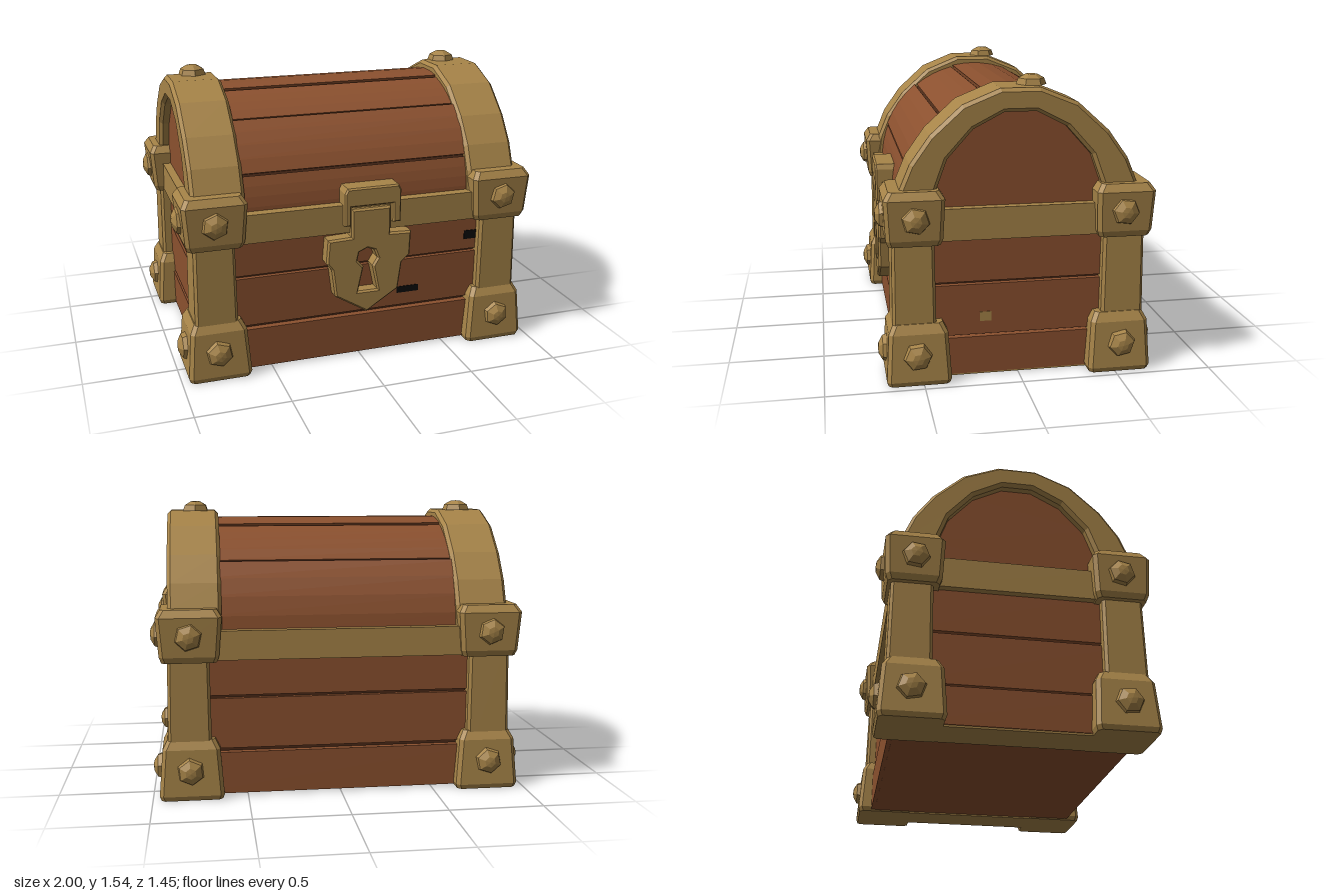
import * as THREE from 'three';

const mat = (name, color) => {
  const m = new THREE.MeshStandardMaterial({ color });
  m.name = name;
  return m;
};

export function createModel() {
  const root = new THREE.Group();
  root.name = 'treasureChest';
  const wood = mat('wood', 0x8c512f);
  const gold = mat('oldGold', 0xa88549);
  const seam = mat('darkSeam', 0x4a2917);
  const black = mat('blackHole', 0x0c0a0a);

  // Adds a faceted mesh
  const add = (name, geo, material, x = 0, y = 0, z = 0) => {
    const g = geo.index ? geo.toNonIndexed() : geo;
    g.computeVertexNormals();
    const mesh = new THREE.Mesh(g, material);
    mesh.name = name;
    mesh.position.set(x, y, z);
    root.add(mesh);
    return mesh;
  };

  // Box given by its limits
  const slab = (name, material, x0, x1, y0, y1, z0, z1) =>
    add(name, new THREE.BoxGeometry(x1 - x0, y1 - y0, z1 - z0), material,
      (x0 + x1) / 2, (y0 + y1) / 2, (z0 + z1) / 2);

  // Stack of chamfered rectangles; levels are [y, halfX, halfZ]
  const loft = (levels, c) => {
    const pos = [], idx = [];
    for (const [y, a, b] of levels) {
      const ring = [[a, b - c], [a - c, b], [c - a, b], [-a, b - c],
        [-a, c - b], [c - a, -b], [a - c, -b], [a, c - b]];
      for (const [x, z] of ring) pos.push(x, y, z);
    }
    const last = (levels.length - 1) * 8;
    for (let l = 0; l < last; l += 8) {
      for (let i = 0; i < 8; i++) {
        const j = (i + 1) % 8;
        idx.push(l + i, l + 8 + i, l + j, l + j, l + 8 + i, l + 8 + j);
      }
    }
    for (let i = 1; i < 7; i++) {
      idx.push(0, i, i + 1, last, last + i + 1, last + i);
    }
    const g = new THREE.BufferGeometry();
    g.setAttribute('position', new THREE.Float32BufferAttribute(pos, 3));
    g.setIndex(idx);
    return g;
  };

  const toVectors = (points) => points.map(([a, b]) => new THREE.Vector2(a, b));

  // Extrudes a (z, y) outline along x, centred on x = 0
  const acrossX = (points, width, bevel = 0) => {
    const g = new THREE.ExtrudeGeometry(new THREE.Shape(toVectors(points)), {
      depth: width - 2 * bevel, bevelEnabled: bevel > 0, bevelThickness: bevel,
      bevelSize: bevel, bevelOffset: -bevel, bevelSegments: 1,
    });
    g.translate(0, 0, bevel - width / 2);
    return g.rotateY(-Math.PI / 2);
  };

  // Low-sided stud pointing along a direction
  const stud = (x, y, z, dir, turn) => {
    const profile = [[0.078, -0.01], [0.066, 0.022], [0.03, 0.042], [0, 0.045]];
    const g = new THREE.LatheGeometry(toVectors(profile), 6);
    const mesh = add('stud', g.rotateY(turn), gold, x, y, z);
    mesh.quaternion.setFromUnitVectors(new THREE.Vector3(0, 1, 0), dir);
  };

  // Body: dark core, floor and separate planks on all four sides
  slab('bodyCore', seam, -0.83, 0.83, 0.03, 0.85, -0.575, 0.575);
  slab('floor', wood, -0.84, 0.84, 0.008, 0.035, -0.59, 0.59);
  [[0.01, 0.235, 0.612], [0.255, 0.525, 0.6], [0.54, 0.8, 0.596]].forEach(([a, b, d]) => {
    slab('frontPlank', wood, -0.84, 0.84, a, b, 0.55, d);
    slab('backPlank', wood, -0.84, 0.84, a, b, -d, -0.55);
  });
  [[0.01, 0.208, 0.866], [0.22, 0.49, 0.86], [0.505, 0.8, 0.855]].forEach(([a, b, d]) => {
    slab('leftPlank', wood, 0.8, d, a, b, -0.56, 0.56);
    slab('rightPlank', wood, -d, -0.8, a, b, -0.56, 0.56);
  });

  // Lid: dark core and curved planks
  const arc = (from, to, k, steps) => {
    const pts = [];
    for (let i = 0; i <= steps; i++) {
      const t = THREE.MathUtils.degToRad(from + (to - from) * i / steps);
      pts.push([0.595 * k * Math.cos(t), 0.85 + 0.605 * k * Math.sin(t)]);
    }
    return pts;
  };
  add('lidCore', acrossX(arc(0, 180, 0.965, 24), 1.6), seam);
  const seams = [0, 22, 52, 77, 110, 140, 180];
  for (let i = 0; i < seams.length - 1; i++) {
    const a = seams[i] + 0.6, b = seams[i + 1] - 0.6;
    const k = i % 2 ? 1 : 0.988;
    const outline = [...arc(a, b, k, 4), ...arc(b, a, 0.92, 4)];
    add('lidPlank', acrossX(outline, 1.62), wood);
  }

  // Arched bands and the end panels inside them
  const half = (pts) => [...pts, ...pts.map(([z, y]) => [-z, y]).reverse()];
  const outer = half([[0.63, 0.82], [0.605, 1.0], [0.55, 1.13], [0.45, 1.27],
    [0.29, 1.415], [0.1, 1.492]]);
  const inner = half([[0.43, 0.82], [0.42, 1.0], [0.365, 1.15], [0.235, 1.295],
    [0.08, 1.375]]);
  for (const s of [-1, 1]) {
    add('lidBand', acrossX([...outer, ...inner.slice().reverse()], 0.28, 0.018),
      gold, s * 0.765);
    add('lidEndPanel', acrossX(inner.map(([z, y]) => [z * 1.1, y + 0.02]), 0.06),
      wood, s * 0.82);
    stud(s * 0.75, 1.5, -0.08, new THREE.Vector3(0, 1, 0), s);
    // Side rails and bottom end strips
    slab('sideRail', gold, s * 0.86 - 0.035, s * 0.86 + 0.035, 0.735, 0.9, -0.5, 0.5);
    slab('bottomStrip', gold, s * 0.75 - 0.11, s * 0.75 + 0.11, 0, 0.02, -0.6, 0.6);
  }

  // Front and back rails
  for (const s of [-1, 1]) {
    slab('longRail', gold, -0.75, 0.75, 0.735, 0.89, s * 0.6 - 0.043, s * 0.6 + 0.043);
  }

  // Corner posts, blocks and studs
  for (const sx of [-1, 1]) {
    for (const sz of [-1, 1]) {
      add('cornerPost', loft([[0.2, 0.115, 0.112], [0.8, 0.108, 0.106]], 0.015),
        gold, sx * 0.802, 0, sz * 0.541);
      add('lowerCornerBlock', loft([[0, 0.16, 0.157], [0.025, 0.169, 0.165],
        [0.27, 0.15, 0.15], [0.318, 0.125, 0.125]], 0.02),
        gold, sx * 0.795, 0, sz * 0.523);
      add('upperCornerBlock', loft([[0.728, 0.142, 0.13], [0.76, 0.154, 0.142],
        [0.965, 0.17, 0.152], [1.005, 0.145, 0.125]], 0.02),
        gold, sx * 0.797, 0, sz * 0.535);
      for (const [y, x, z] of [[0.155, 0.952, 0.677], [0.865, 0.953, 0.678]]) {
        stud(sx * 0.8, y, sz * z, new THREE.Vector3(0, 0, sz), sx + y);
        stud(sx * x, y, sz * 0.53, new THREE.Vector3(sx, 0, 0), sz + y);
      }
    }
  }

  // Lock plate with keyhole
  const plate = new THREE.Shape(toVectors([[-0.07, 0.87], [-0.07, 0.715], [-0.2, 0.71],
    [-0.21, 0.58], [-0.18, 0.54], [-0.16, 0.385], [0.02, 0.275], [0.2, 0.39],
    [0.22, 0.54], [0.265, 0.58], [0.27, 0.715], [0.15, 0.72], [0.15, 0.87]]));
  plate.holes.push(new THREE.Path(toVectors([[-0.03, 0.4], [0.08, 0.4], [0.05, 0.54],
    [0.078, 0.585], [0.06, 0.63], [0.02, 0.645], [-0.025, 0.625], [-0.035, 0.58],
    [0, 0.54]])));
  add('lockPlate', new THREE.ExtrudeGeometry(plate, {
    depth: 0.07, bevelEnabled: true, bevelThickness: 0.012, bevelSize: 0.01,
    bevelOffset: -0.01, bevelSegments: 1,
  }), gold, 0, 0, 0.592);

  // Hasp: an upside-down U around the neck of the plate
  const hasp = new THREE.Shape(toVectors([[-0.11, 0.78], [-0.075, 0.78], [-0.075, 0.885],
    [0.16, 0.885], [0.16, 0.78], [0.205, 0.78], [0.205, 0.96], [0.19, 0.988],
    [-0.095, 0.988], [-0.11, 0.96]]));
  add('hasp', new THREE.ExtrudeGeometry(hasp, {
    depth: 0.12, bevelEnabled: true, bevelThickness: 0.01, bevelSize: 0.008,
    bevelOffset: -0.008, bevelSegments: 1,
  }), gold, 0, 0, 0.55);

  // Small holes and worn chips as thin plates
  slab('frontHole', black, 0.22, 0.35, 0.328, 0.365, 0.598, 0.603);
  slab('frontHole', black, 0.62, 0.7, 0.6, 0.65, 0.594, 0.6);
  slab('sideChip', gold, 0.859, 0.863, 0.29, 0.34, 0.14, 0.2);

  return root;
}
